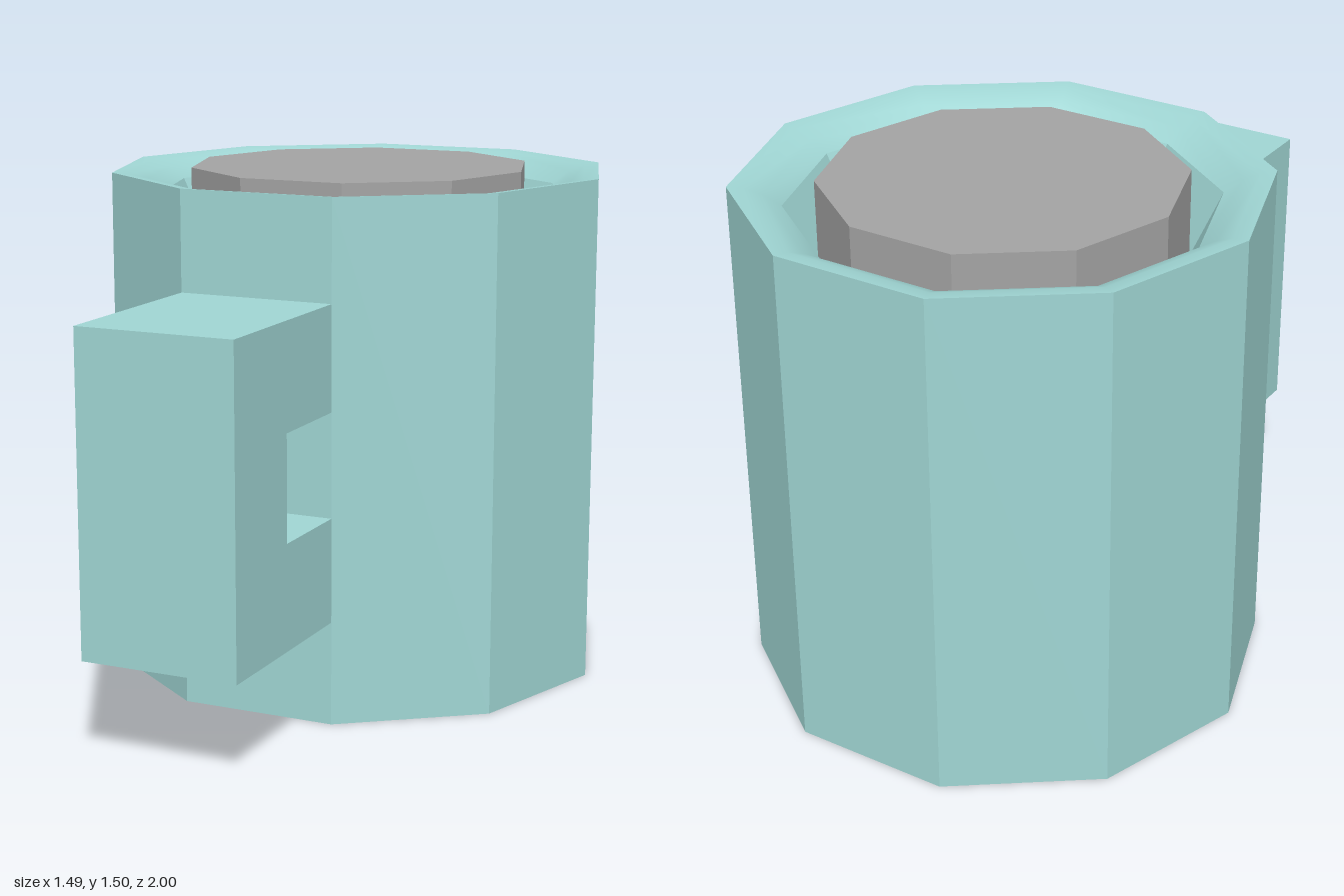
import * as THREE from 'three';
import { toCreasedNormals } from 'three/addons/utils/BufferGeometryUtils.js';

const SIDES = 10;
const TURN = Math.PI / SIDES; // a flat side faces the handle
const CENTRE_Z = -0.29;

export function createModel() {
  const group = new THREE.Group();
  group.name = 'mug';
  const teal = new THREE.MeshStandardMaterial({ color: 0xa0d6d4 });
  const grey = new THREE.MeshStandardMaterial({ color: 0xa3a3a3, flatShading: true });

  const add = (name, geometry, material) => {
    const mesh = new THREE.Mesh(geometry, material);
    mesh.name = name;
    group.add(mesh);
    return mesh;
  };

  // Cup: ten-sided wall, softly dished rim, steep inner wall and floor
  const profile = [
    [0, 0], [0.745, 0], [0.745, 1.49],
    [0.7, 1.485], [0.65, 1.465], [0.6, 1.43],
    [0.5, 1.22], [0, 1.22],
  ].map(([r, y]) => new THREE.Vector2(r, y));
  const cupGeometry = new THREE.LatheGeometry(profile, SIDES, TURN);
  add('cup', toCreasedNormals(cupGeometry, 0.5), teal).position.z = CENTRE_Z;

  // Drink: slightly proud ten-sided disc
  const drinkGeometry = new THREE.CylinderGeometry(0.51, 0.51, 0.28, SIDES, 1, false, TURN);
  add('drink', drinkGeometry, grey).position.set(0, 1.36, CENTRE_Z);

  // Handle: square bracket outline (z, y) extruded across x
  const outline = [
    [0.418, 0.3], [1, 0.3], [1, 1.2], [0.418, 1.2],
    [0.418, 0.9], [0.7, 0.9], [0.7, 0.6], [0.418, 0.6],
  ].map(([z, y]) => new THREE.Vector2(-z, y));
  const handleGeometry = new THREE.ExtrudeGeometry(new THREE.Shape(outline), {
    depth: 0.46, bevelEnabled: false,
  });
  handleGeometry.translate(0, 0, -0.23);
  handleGeometry.rotateY(Math.PI / 2);
  add('handle', handleGeometry, teal);

  return group;
}
